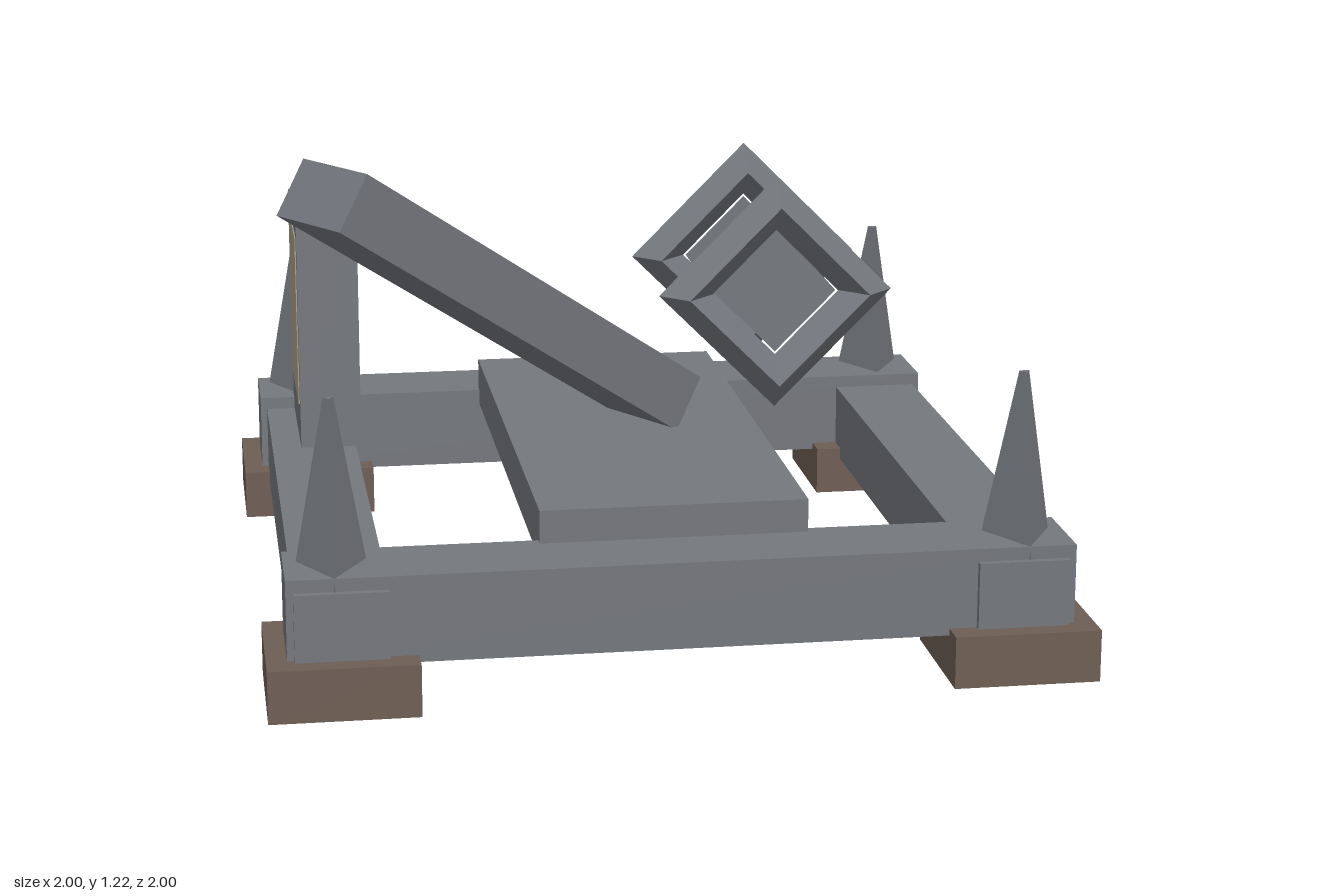
import * as THREE from 'three';
import { toCreasedNormals } from 'three/addons/utils/BufferGeometryUtils.js';

export function createModel() {
  const model = new THREE.Group();
  const mat = (name, color) => {
    const m = new THREE.MeshStandardMaterial({ color });
    m.name = name;
    return m;
  };
  const grey = mat('steelGrey', 0x74777d);
  const brown = mat('footBrown', 0x6e5e54);
  brown.side = THREE.DoubleSide; // feet are open underneath
  const tan = mat('panelTan', 0xaa9e88);

  const add = (name, geometry, material, x, y, z) => {
    const mesh = new THREE.Mesh(toCreasedNormals(geometry, 0.1), material);
    mesh.name = name;
    mesh.position.set(x, y, z);
    model.add(mesh);
    return mesh;
  };
  // Box given by its minimum and maximum corners
  const box = (name, material, [x0, y0, z0], [x1, y1, z1]) =>
    add(name, new THREE.BoxGeometry(x1 - x0, y1 - y0, z1 - z0), material,
      (x0 + x1) / 2, (y0 + y1) / 2, (z0 + z1) / 2);

  // Hollow foot: a box without its bottom face
  const foot = new THREE.BoxGeometry(0.36, 0.13, 0.36);
  const faces = Array.from(foot.index.array);
  faces.splice(18, 6);
  foot.setIndex(faces);
  foot.clearGroups();

  // Three-sided corner spike
  const spike = new THREE.CylinderGeometry(0.014, 0.103, 0.445, 3);

  for (const s of [-1, 1]) {
    // Base frame beams
    add('crossBeam', new THREE.BoxGeometry(1.9, 0.215, 0.225), grey, 0, 0.22, s * 0.82);
    add('sideBeam', new THREE.BoxGeometry(0.225, 0.197, 1.9), grey, s * 0.82, 0.197, 0);
    for (const t of [-1, 1]) {
      add('foot', foot, brown, s * 0.82, 0.065, t * 0.82);
      add('spike', spike, grey, s * 0.835, 0.517, t * 0.835);
    }
  }

  // Deck plate between the cross beams
  box('deck', grey, [-0.33, 0.285, -0.735], [0.33, 0.41, 0.735]);

  // Upright post with a coloured panel on its outer side
  box('post', grey, [-0.855, 0.29, -0.755], [-0.693, 0.917, -0.297]);
  box('postPanel', tan, [-0.858, 0.41, -0.7], [-0.853, 0.87, -0.33]);

  // Leaning arm: long axis rises towards the front right
  const arm = add('arm', new THREE.BoxGeometry(0.26, 0.155, 1.275), grey, -0.37, 0.807, 0.2);
  const along = new THREE.Vector3(0.904, -0.685, -0.58).normalize();
  const across = new THREE.Vector3(0.54, 0, 0.84);
  across.addScaledVector(along, -across.dot(along)).normalize();
  const up = new THREE.Vector3().crossVectors(along, across);
  arm.quaternion.setFromRotationMatrix(new THREE.Matrix4().makeBasis(across, up, along));

  // Diamond-shaped drum: two rings on a four-sided core
  const ring = new THREE.TorusGeometry(0.245, 0.073, 4, 4);
  for (const z of [-0.197, -0.69]) add('drumRing', ring, grey, 0.425, 0.707, z);
  const core = new THREE.CylinderGeometry(0.165, 0.165, 0.49, 4);
  core.rotateX(Math.PI / 2);
  add('drumCore', core, grey, 0.425, 0.707, -0.443);

  return model;
}
